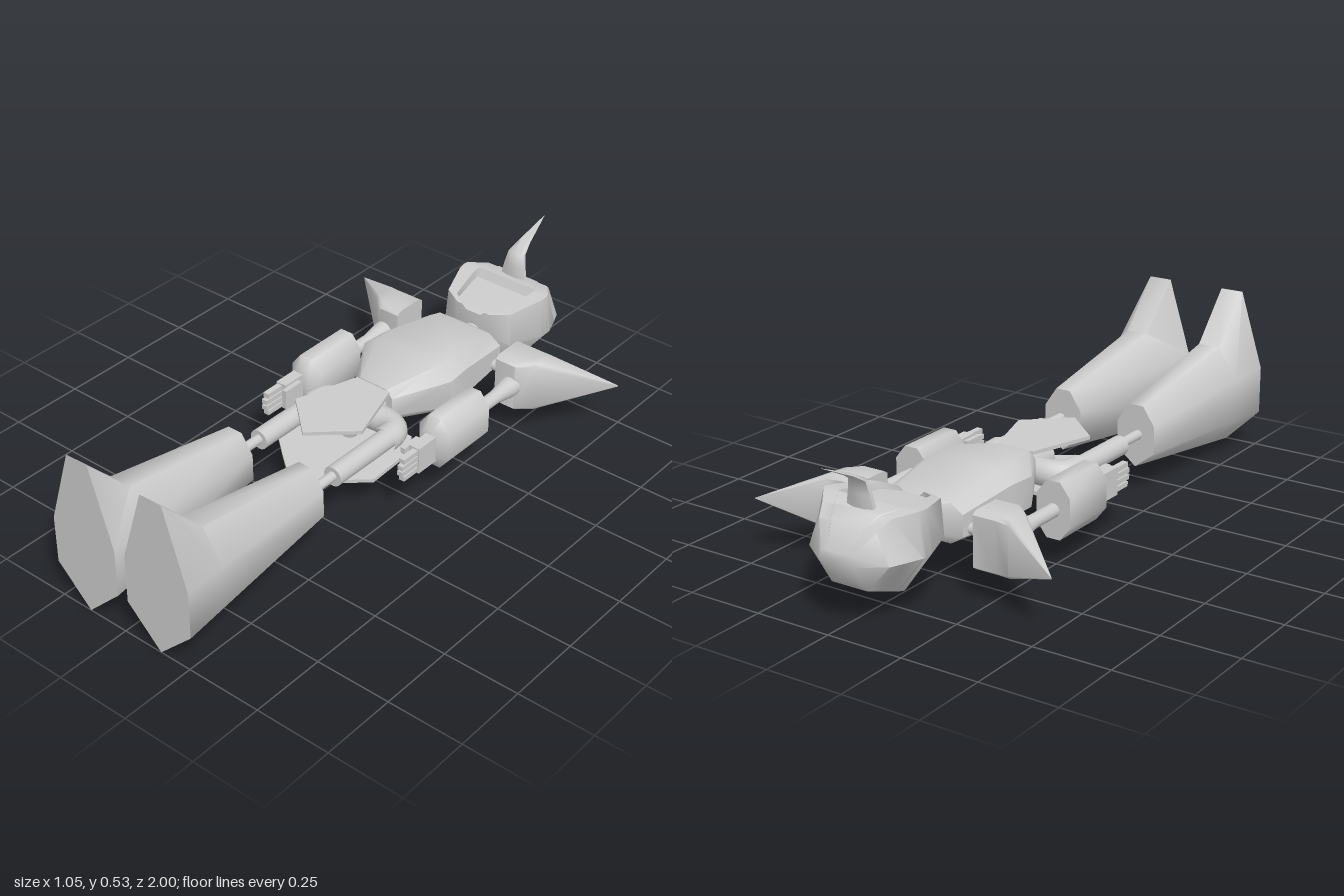
import * as THREE from 'three';
import { toCreasedNormals } from 'three/addons/utils/BufferGeometryUtils.js';

const metal = new THREE.MeshStandardMaterial({ color: 0xcccccc });
metal.name = 'light grey';

// Closed skin over a list of rings of [x, y, z] points, turned outward by its signed volume
function loft(rings, crease = 1.0) {
  const n = rings[0].length;
  const tris = [];
  const centre = (r) => [0, 1, 2].map((k) => r.reduce((s, p) => s + p[k], 0) / n);
  const first = centre(rings[0]);
  const last = centre(rings[rings.length - 1]);
  for (let j = 0; j < n; j++) {
    const k = (j + 1) % n;
    tris.push([first, rings[0][k], rings[0][j]]);
    tris.push([last, rings[rings.length - 1][j], rings[rings.length - 1][k]]);
    for (let i = 0; i + 1 < rings.length; i++) {
      const a = rings[i], b = rings[i + 1];
      tris.push([a[j], a[k], b[k]], [a[j], b[k], b[j]]);
    }
  }
  let volume = 0;
  const u = new THREE.Vector3(), v = new THREE.Vector3(), w = new THREE.Vector3();
  for (const [a, b, c] of tris) {
    volume += u.fromArray(a).dot(v.fromArray(b).cross(w.fromArray(c)));
  }
  if (volume < 0) tris.forEach((t) => t.reverse());
  const g = new THREE.BufferGeometry();
  g.setAttribute('position', new THREE.Float32BufferAttribute(tris.flat(2), 3));
  return toCreasedNormals(g, crease);
}

// Chamfered rectangle spanning a0..a1 by b0..b1, with chamfers as fractions of the half sizes
function octagon(a0, a1, b0, b1, ca, cb) {
  const p = ((a1 - a0) / 2) * ca, q = ((b1 - b0) / 2) * cb;
  return [[a0 + p, b0], [a1 - p, b0], [a1, b0 + q], [a1, b1 - q],
    [a1 - p, b1], [a0 + p, b1], [a0, b1 - q], [a0, b0 + q]];
}
const acrossZ = (z, pts, s = 1) => pts.map(([x, y]) => [s * x, y, z]);

function add(group, name, geometry) {
  const m = new THREE.Mesh(geometry, metal);
  m.name = name;
  group.add(m);
  return m;
}

// Round bar along z
function barZ(x, y, z0, z1, r0, r1 = r0) {
  const g = new THREE.CylinderGeometry(r1, r0, z1 - z0, 16);
  g.rotateX(Math.PI / 2);
  return g.translate(x, y, (z0 + z1) / 2);
}

// Thin plate lying flat, from one half of its outline given as [x, z]
function plate(half, y, thickness) {
  const pts = [...half, ...half.filter((p) => p[0] > 0).reverse().map(([x, z]) => [-x, z])];
  const g = new THREE.ExtrudeGeometry(new THREE.Shape(pts.map((p) => new THREE.Vector2(...p))),
    { depth: thickness, bevelEnabled: false });
  return g.rotateX(Math.PI / 2).translate(0, y, 0);
}

function addHead(body) {
  // Helmet with a shallow notch for the face
  const ring = (z, w, w2, yb, ym, yt, n, yf) => acrossZ(z, [
    [-w * 0.45, yb], [w * 0.45, yb], [w, ym], [w2, yt], [n, yt], [n * 0.97, yf],
    [-n * 0.97, yf], [-n, yt], [-w2, yt], [-w, ym]]);
  add(body, 'helmet', loft([
    ring(-0.955, 0.06, 0.05, 0.165, 0.2, 0.23, 0.03, 0.23),
    ring(-0.9, 0.14, 0.1, 0.11, 0.2, 0.29, 0.06, 0.295),
    ring(-0.86, 0.157, 0.12, 0.097, 0.2, 0.322, 0.08, 0.325),
    ring(-0.8, 0.18, 0.165, 0.077, 0.2, 0.334, 0.115, 0.334),
    ring(-0.785, 0.18, 0.168, 0.072, 0.2, 0.333, 0.115, 0.305),
    ring(-0.76, 0.178, 0.165, 0.065, 0.2, 0.33, 0.112, 0.302),
    ring(-0.645, 0.135, 0.125, 0.115, 0.2, 0.314, 0.09, 0.295),
    ring(-0.615, 0.07, 0.065, 0.2, 0.22, 0.305, 0.045, 0.29),
  ], 0.8));
  // Swept-back crest horn
  const hornRing = (y, z, w, d) => octagon(-w, w, z - d, z + d, 0.6, 0.6).map(([x, zz]) => [x, y, zz]);
  add(body, 'horn', loft([
    hornRing(0.32, -0.838, 0.048, 0.015),
    hornRing(0.37, -0.842, 0.038, 0.016),
    hornRing(0.41, -0.85, 0.03, 0.015),
    hornRing(0.435, -0.89, 0.02, 0.012),
    hornRing(0.485, -0.998, 0.001, 0.001),
  ]));
  add(body, 'neck', barZ(0, 0.205, -0.64, -0.57, 0.042));
}

function addTorso(body) {
  const ring = (z, w, y0, y1) => acrossZ(z, octagon(-w, w, y0, y1, 0.3, 0.45));
  add(body, 'torso', loft([
    ring(-0.1, 0.075, 0.16, 0.275), ring(-0.27, 0.175, 0.135, 0.308),
    ring(-0.36, 0.167, 0.133, 0.308), ring(-0.57, 0.145, 0.145, 0.27),
    ring(-0.6, 0.055, 0.165, 0.25),
  ], 0.75));
  add(body, 'waist', barZ(0, 0.205, -0.13, 0.04, 0.055));
  add(body, 'frontSkirt', plate([[0, 0.235], [0.06, 0.18], [0.133, 0.115], [0.065, -0.1]], 0.272, 0.012));
  const back = add(body, 'backSkirt', plate(
    [[0, 0.295], [0.1, 0.215], [0.195, 0.135], [0.195, -0.02], [0.155, -0.1]], 0, 0.012));
  back.position.y = 0.14;
  back.rotation.x = 0.05;
}

function addArm(body, s) {
  const arm = new THREE.Group();
  arm.name = s > 0 ? 'leftArm' : 'rightArm';
  body.add(arm);
  // Shoulder drawn out into a spike
  const ring = (x, z0, z1, y0, y1) =>
    octagon(z0, z1, y0, y1, 0.25, 0.12).map(([z, y]) => [s * x, y, z]);
  add(arm, 'shoulderSpike', loft([
    ring(0.2, -0.6, -0.47, 0.095, 0.275), ring(0.275, -0.6, -0.47, 0.095, 0.275),
    ring(0.32, -0.602, -0.51, 0.097, 0.272), ring(0.523, -0.692, -0.69, 0.184, 0.187),
  ], 0.9));
  const link = new THREE.CylinderGeometry(0.018, 0.018, 0.1, 16).rotateZ(Math.PI / 2);
  add(arm, 'shoulderJoint', link.translate(s * 0.165, 0.19, -0.533));

  const x = s * 0.258;
  const sleeve = new THREE.LatheGeometry(
    [[0.034, -0.48], [0.033, -0.455], [0.022, -0.39], [0.022, -0.27]].map((p) => new THREE.Vector2(...p)), 16);
  add(arm, 'upperArm', sleeve.rotateX(Math.PI / 2).translate(x, 0.185, 0));
  const fore = (z, w, y0, y1) => acrossZ(z, octagon(0.258 - w, 0.258 + w, y0, y1, 0.6, 0.5), s);
  add(arm, 'forearm', loft([
    fore(-0.28, 0.058, 0.095, 0.275), fore(-0.08, 0.058, 0.095, 0.275), fore(-0.05, 0.035, 0.13, 0.24),
  ]));

  // Palm, four fingers and thumb
  add(arm, 'palm', new THREE.BoxGeometry(0.038, 0.09, 0.09).translate(s * 0.267, 0.183, -0.013));
  for (let i = 0; i < 4; i++) {
    const length = 0.085 - 0.008 * Math.abs(i - 1.5);
    add(arm, 'finger', new THREE.BoxGeometry(0.02, 0.016, length)
      .translate(s * 0.272, 0.152 + i * 0.021, 0.025 + length / 2));
  }
  add(arm, 'thumb', new THREE.BoxGeometry(0.016, 0.02, 0.075).translate(s * 0.238, 0.212, 0.013));
}

function addLeg(body, s) {
  const leg = new THREE.Group();
  leg.name = s > 0 ? 'leftLeg' : 'rightLeg';
  body.add(leg);
  // Hip bending from the waist into the thigh
  const bend = new THREE.CatmullRomCurve3([[0.03, -0.055], [0.1, -0.055], [0.139, -0.03], [0.147, 0.03]]
    .map(([x, z]) => new THREE.Vector3(s * x, 0.195, z)));
  add(leg, 'hip', new THREE.TubeGeometry(bend, 12, 0.043, 16));
  add(leg, 'thigh', barZ(s * 0.147, 0.197, 0.0, 0.27, 0.033));
  add(leg, 'knee', barZ(s * 0.147, 0.2, 0.26, 0.4, 0.016));

  // Flared shin ending in a raised toe
  const ring = (z, c, w, yb, y1, y2, yt, t) => acrossZ(z, [
    [c, yb], [c + w, y1], [c + w, y2], [c + t, yt], [c - t, yt], [c - w, y2], [c - w, y1]], s);
  add(leg, 'lowerLeg', loft([
    ring(0.38, 0.139, 0.068, 0.09, 0.145, 0.235, 0.298, 0.026),
    ring(0.85, 0.14, 0.108, 0.024, 0.128, 0.27, 0.376, 0.038),
    ring(1.0, 0.14, 0.121, 0.003, 0.122, 0.28, 0.535, 0.04),
  ]));
}

export function createModel() {
  const body = new THREE.Group();
  body.name = 'recliningRobot';
  addHead(body);
  addTorso(body);
  for (const s of [1, -1]) {
    addArm(body, s);
    addLeg(body, s);
  }
  return body;
}
